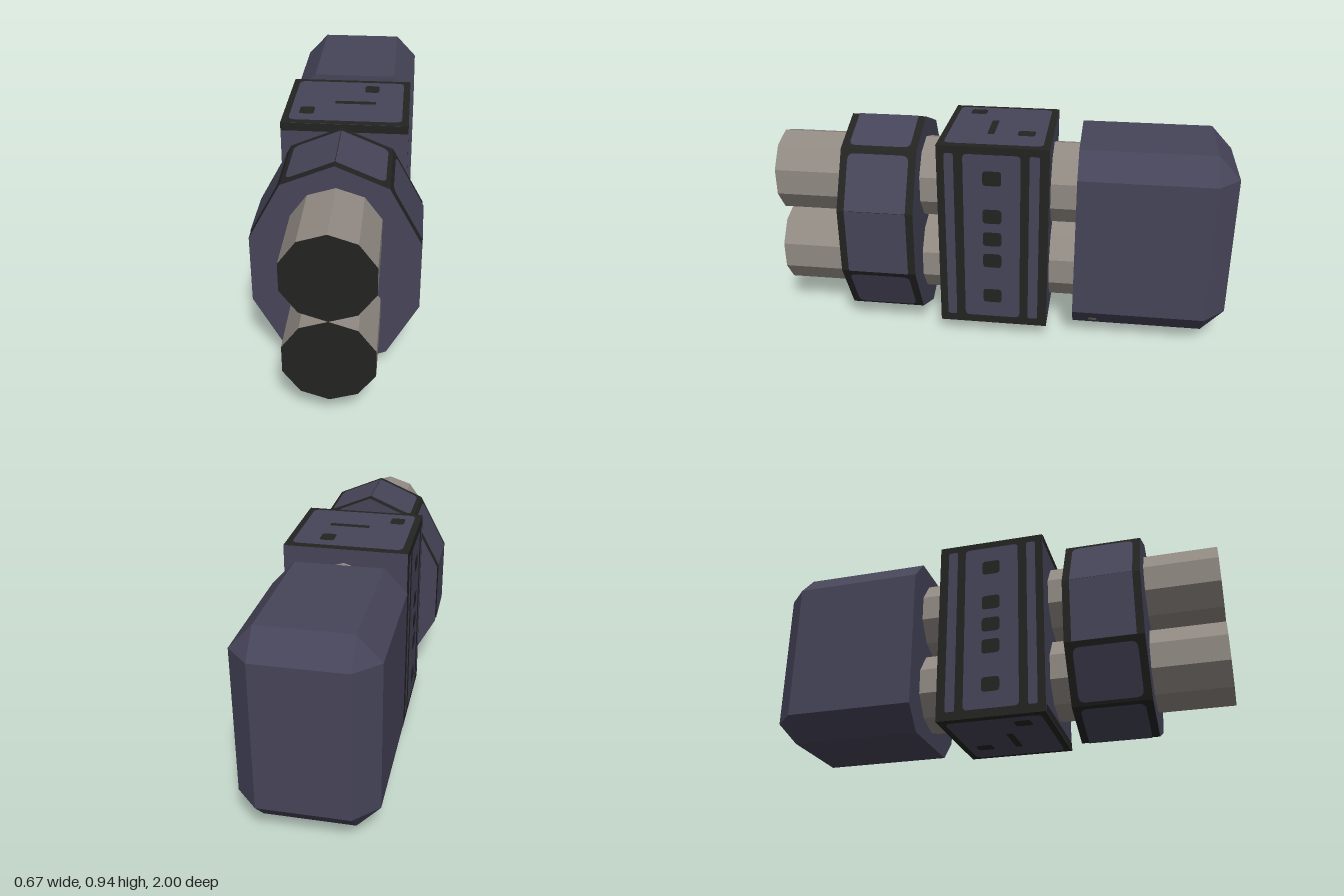
import * as THREE from 'three';
import { ConvexGeometry } from 'three/addons/geometries/ConvexGeometry.js';

const flat = (name, color) => {
  const m = new THREE.MeshStandardMaterial({ color });
  m.name = name;
  return m;
};

// Rectangle outline with its own corner radius at the start and end of u
function panelShape(u0, u1, v0, v1, r0, r1) {
  const s = new THREE.Shape();
  s.moveTo(u0 + r0, v0);
  s.lineTo(u1 - r1, v0);
  s.quadraticCurveTo(u1, v0, u1, v0 + r1);
  s.lineTo(u1, v1 - r1);
  s.quadraticCurveTo(u1, v1, u1 - r1, v1);
  s.lineTo(u0 + r0, v1);
  s.quadraticCurveTo(u0, v1, u0, v1 - r0);
  s.lineTo(u0, v0 + r0);
  s.quadraticCurveTo(u0, v0, u0 + r0, v0);
  return s;
}

export function createModel() {
  const slate = flat('slate', 0x464458);
  const dark = flat('dark trim', 0x232322);
  const grey = flat('warm grey', 0x918a83);
  const model = new THREE.Group();
  model.name = 'doubleBarrelDevice';

  const add = (name, geometry, material, parent = model) => {
    const mesh = new THREE.Mesh(geometry, material);
    mesh.name = name;
    parent.add(mesh);
    return mesh;
  };

  // Lays a painted face on a plane given by an origin, u direction and normal
  const paint = (name, shape, material, origin, u, n, lift = 0.003) => {
    const v = n.clone().cross(u);
    const m = new THREE.Matrix4().makeBasis(u, v, n);
    m.setPosition(origin.clone().addScaledVector(n, lift));
    return add(name, new THREE.ShapeGeometry(shape, 4).applyMatrix4(m), material);
  };
  const V = (x, y, z) => new THREE.Vector3(x, y, z);

  // Twin ten-sided barrels with dark ends
  for (const [name, y] of [['upperBarrel', 0.664], ['lowerBarrel', 0.298]]) {
    const g = new THREE.CylinderGeometry(0.183, 0.183, 1.4, 10).toNonIndexed();
    g.computeVertexNormals();
    g.rotateX(Math.PI / 2).rotateZ(Math.PI);
    // A vertex points straight up and down
    add(name, g, [grey, dark, dark]).position.set(0.005, y, 0.3);
  }

  // Faceted collar around the barrels
  const half = [[0, 0.937], [0.205, 0.85], [0.332, 0.613], [0.332, 0.325], [0.205, 0.09], [0, 0.003]];
  const outline = [...half, ...half.slice(1, -1).reverse().map(([x, y]) => [-x, y])];
  const collarShape = new THREE.Shape(outline.map(([x, y]) => new THREE.Vector2(x, y)));
  const collar = new THREE.ExtrudeGeometry(collarShape, { depth: 0.33, bevelEnabled: false });
  add('collar', collar.translate(0, 0, 0.35), [slate, dark]);

  // Collar panels: [start inset, end inset] of each face from the top down
  const insets = [[0, 0.02], [0.02, 0], [0, 0], [0.025, 0.015], [0.015, 0]];
  insets.forEach(([a, b], i) => {
    for (const side of [1, -1]) {
      const p = V(side * half[i][0], half[i][1], 0.515);
      const q = V(side * half[i + 1][0], half[i + 1][1], 0.515);
      const u = q.clone().sub(p);
      const length = u.length();
      u.normalize();
      const n = V(-u.y * side, u.x * side, 0);
      const shape = panelShape(a, length - b, -0.133, 0.133, a ? 0.03 : 0, b ? 0.03 : 0);
      paint('collarPanel', shape, slate, p, u, n);
    }
  });

  // Middle block
  const block = add('middleBlock', new THREE.BoxGeometry(0.526, 0.844, 0.475),
    [dark, dark, dark, dark, slate, slate]);
  block.position.set(0, 0.485, 0.0175);
  for (const y of [0.063, 0.872]) {
    paint('frontBand', panelShape(-0.263, 0.263, y, y + 0.035, 0, 0), dark,
      V(0, 0, 0.255), V(1, 0, 0), V(0, 0, 1), 0.002);
  }

  // Side panels with a column of dark studs
  for (const side of [1, -1]) {
    const at = V(side * 0.263, 0, 0);
    const u = V(0, 1, 0);
    const n = V(side, 0, 0);
    const strip = (name, y0, y1, z0, z1, r, material, lift) => {
      const [v0, v1] = side > 0 ? [z0, z1] : [-z1, -z0];
      paint(name, panelShape(y0, y1, v0, v1, r, r), material, at, u, n, lift);
    };
    strip('sidePanel', 0.1, 0.875, -0.1, 0.143, 0.02, slate);
    strip('sideStrip', 0.1, 0.875, 0.182, 0.222, 0.01, slate);
    strip('sideStrip', 0.1, 0.875, -0.18, -0.137, 0.01, slate);
    for (const y of [0.77, 0.595, 0.487, 0.383, 0.207]) {
      strip('sideStud', y - 0.033, y + 0.033, -0.02, 0.06, 0.015, dark, 0.006);
    }
  }

  // Top and bottom panels with two studs and a slot
  for (const side of [1, -1]) {
    const at = V(0, side > 0 ? 0.907 : 0.063, 0);
    const u = V(1, 0, 0);
    const n = V(0, side, 0);
    const plate = (name, x0, x1, z0, z1, r, material, lift) => {
      const [v0, v1] = side > 0 ? [-z1, -z0] : [z0, z1];
      paint(name, panelShape(x0, x1, v0, v1, r, r), material, at, u, n, lift);
    };
    plate('endPanel', -0.235, 0.235, -0.19, 0.228, 0.03, slate);
    plate('endStud', -0.197, -0.135, 0.1, 0.172, 0.015, dark, 0.006);
    plate('endStud', 0.065, 0.127, -0.145, -0.07, 0.015, dark, 0.006);
    plate('endSlot', -0.055, 0.12, 0.03, 0.06, 0.008, dark, 0.006);
  }

  // Rear housing: chamfered along its length and around the back
  const points = [];
  for (const sx of [1, -1]) {
    for (const sy of [1, -1]) {
      for (const z of [-0.335, -0.905]) {
        points.push(V(sx * 0.28, 0.471 + sy * 0.313, z), V(sx * 0.185, 0.471 + sy * 0.415, z));
      }
      points.push(V(sx * 0.185, 0.471 + sy * 0.313, -1));
    }
  }
  add('rearHousing', new ConvexGeometry(points), slate);

  // Small grey rivet on the lower chamfer
  const along = V(-0.095, -0.102, 0).normalize();
  paint('rivet', panelShape(-0.018, 0.018, -0.018, 0.018, 0.008, 0.008), grey,
    V(0.223, 0.097, -0.425), along, V(-along.y, along.x, 0));

  return model;
}
